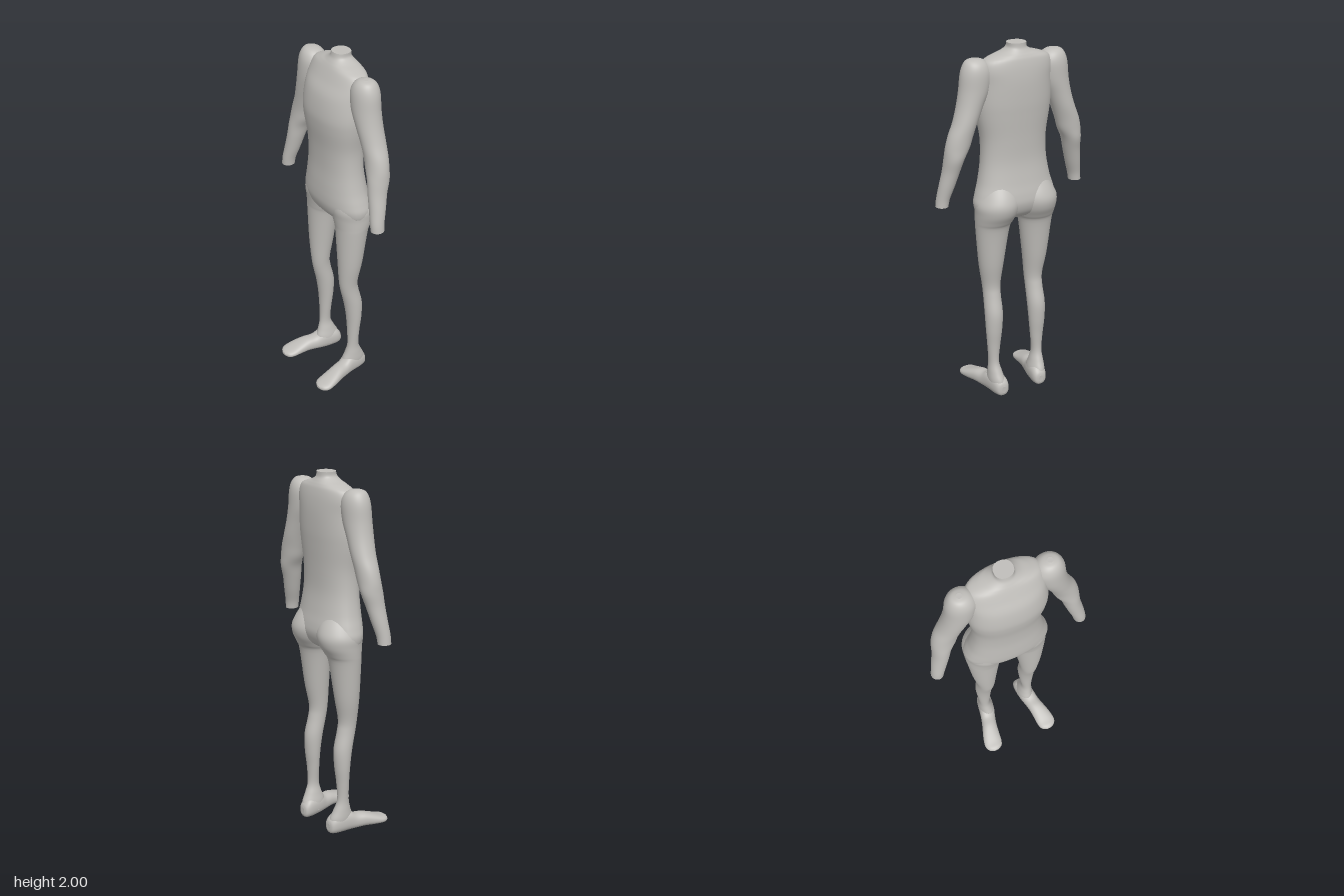
import * as THREE from 'three';

const SIDES = 40, STEPS = 5;

// Catmull-Rom blend of whole section rows
function smoothRows(rows) {
  const out = [], last = rows.length - 1;
  for (let i = 0; i < last; i++) {
    const a = rows[Math.max(i - 1, 0)], b = rows[i], c = rows[i + 1], d = rows[Math.min(i + 2, last)];
    for (let s = 0; s < STEPS; s++) {
      const t = s / STEPS;
      out.push(b.map((p, k) => p + 0.5 * t * (c[k] - a[k] + t * (2 * a[k] - 5 * p + 4 * c[k] - d[k]
        + t * (3 * (p - c[k]) + d[k] - a[k])))));
    }
  }
  out.push(rows[last]);
  return out;
}

// Loft through rounded sections: [position on axis, centre x, half width, low, high].
// Along 'y' low/high are z (rows run downwards); along 'z' they are y (rows run forwards).
function loft(rows, axis, side = 1, power = 2) {
  const rings = smoothRows(rows), pos = [], index = [];
  const round = (v) => Math.sign(v) * Math.abs(v) ** (2 / power);
  const put = (x, t, v) => (axis === 'y' ? pos.push(x, t, v) : pos.push(x, v, t));
  const ring = ([t, cx, rx, lo, hi]) => {
    for (let j = 0; j < SIDES; j++) {
      const a = (j / SIDES) * Math.PI * 2;
      put(side * cx + rx * round(Math.cos(a)), t, (lo + hi) / 2 + (hi - lo) / 2 * round(Math.sin(a)));
    }
  };
  rings.forEach(ring);
  for (let i = 0; i < rings.length - 1; i++) {
    for (let j = 0; j < SIDES; j++) {
      const a = i * SIDES + j, b = i * SIDES + (j + 1) % SIDES;
      index.push(a, b, a + SIDES, b, b + SIDES, a + SIDES);
    }
  }
  // flat caps with their own vertices
  [rings[0], rings[rings.length - 1]].forEach((r, end) => {
    const base = pos.length / 3;
    ring(r);
    put(side * r[1], r[0], (r[3] + r[4]) / 2);
    for (let j = 0; j < SIDES; j++) {
      const a = base + j, b = base + (j + 1) % SIDES;
      index.push(...(end ? [a, b, base + SIDES] : [b, a, base + SIDES]));
    }
  });
  const geo = new THREE.BufferGeometry();
  geo.setAttribute('position', new THREE.Float32BufferAttribute(pos, 3));
  geo.setIndex(index);
  geo.computeVertexNormals();
  return geo;
}

const TORSO = [
  [2.0, 0, 0.05, -0.125, -0.03], [1.975, 0, 0.054, -0.127, -0.023], [1.955, 0, 0.085, -0.138, -0.01],
  [1.94, 0, 0.135, -0.147, 0], [1.918, 0, 0.185, -0.156, 0.012], [1.87, 0, 0.205, -0.165, 0.035],
  [1.8, 0, 0.207, -0.17, 0.068], [1.7, 0, 0.212, -0.169, 0.085], [1.62, 0, 0.205, -0.164, 0.082],
  [1.5, 0, 0.186, -0.156, 0.066], [1.38, 0, 0.188, -0.154, 0.06], [1.27, 0, 0.206, -0.168, 0.064],
  [1.2, 0, 0.226, -0.181, 0.065], [1.15, 0, 0.237, -0.183, 0.06], [1.1, 0, 0.222, -0.165, 0.042],
  [1.065, 0, 0.16, -0.13, 0.01], [1.05, 0, 0.08, -0.09, -0.03],
];

const ARM = [
  [1.938, 0.232, 0.015, -0.075, -0.045], [1.93, 0.23, 0.045, -0.1, -0.02], [1.905, 0.226, 0.068, -0.122, 0],
  [1.86, 0.225, 0.083, -0.133, 0.011], [1.78, 0.236, 0.081, -0.133, 0.013], [1.7, 0.262, 0.07, -0.131, 0.008],
  [1.62, 0.291, 0.065, -0.13, 0], [1.55, 0.318, 0.067, -0.125, -0.004], [1.49, 0.335, 0.065, -0.121, -0.002],
  [1.43, 0.353, 0.053, -0.116, 0.004], [1.36, 0.366, 0.046, -0.095, 0.009], [1.28, 0.385, 0.042, -0.075, 0.014],
  [1.21, 0.402, 0.036, -0.057, 0.02], [1.165, 0.409, 0.034, -0.052, 0.02],
];

const LEG = [
  [1.26, 0.1, 0.085, -0.15, 0.03], [1.2, 0.106, 0.11, -0.185, 0.045], [1.15, 0.113, 0.122, -0.2, 0.048],
  [1.1, 0.118, 0.116, -0.19, 0.039], [1.05, 0.126, 0.105, -0.162, 0.031], [1.0, 0.132, 0.094, -0.141, 0.027],
  [0.8, 0.136, 0.07, -0.114, 0.021], [0.67, 0.133, 0.052, -0.092, 0.014], [0.6, 0.133, 0.048, -0.1, 0.004],
  [0.5, 0.135, 0.05, -0.123, -0.019], [0.4, 0.137, 0.046, -0.121, -0.034], [0.3, 0.138, 0.037, -0.11, -0.04],
  [0.2, 0.139, 0.029, -0.107, -0.04], [0.14, 0.135, 0.037, -0.128, -0.027], [0.09, 0.13, 0.044, -0.152, -0.01],
  [0.04, 0.126, 0.042, -0.155, -0.02],
];

const FOOT = [
  [-0.162, 0.121, 0.014, 0.025, 0.065], [-0.153, 0.122, 0.034, 0.008, 0.088], [-0.12, 0.125, 0.045, 0.001, 0.115],
  [-0.05, 0.134, 0.047, 0.002, 0.122], [0, 0.146, 0.045, 0.006, 0.096], [0.05, 0.159, 0.047, 0.009, 0.09],
  [0.1, 0.17, 0.052, 0.008, 0.074], [0.15, 0.177, 0.054, 0.008, 0.055], [0.182, 0.177, 0.042, 0.01, 0.046],
  [0.198, 0.177, 0.014, 0.02, 0.036],
];

export function createModel() {
  const body = new THREE.Group();
  body.name = 'mannequinBody';
  const clay = new THREE.MeshStandardMaterial({ color: 0xc0beba });
  clay.name = 'warm grey clay';

  const add = (name, geo) => {
    const mesh = new THREE.Mesh(geo, clay);
    mesh.name = name;
    body.add(mesh);
  };

  add('torso', loft(TORSO, 'y', 1, 2.25));
  for (const [label, side] of [['left', 1], ['right', -1]]) {
    add(label + 'Arm', loft(ARM, 'y', side));
    add(label + 'Leg', loft(LEG, 'y', side));
    add(label + 'Foot', loft(FOOT, 'z', side, 2.3));
  }
  return body;
}
